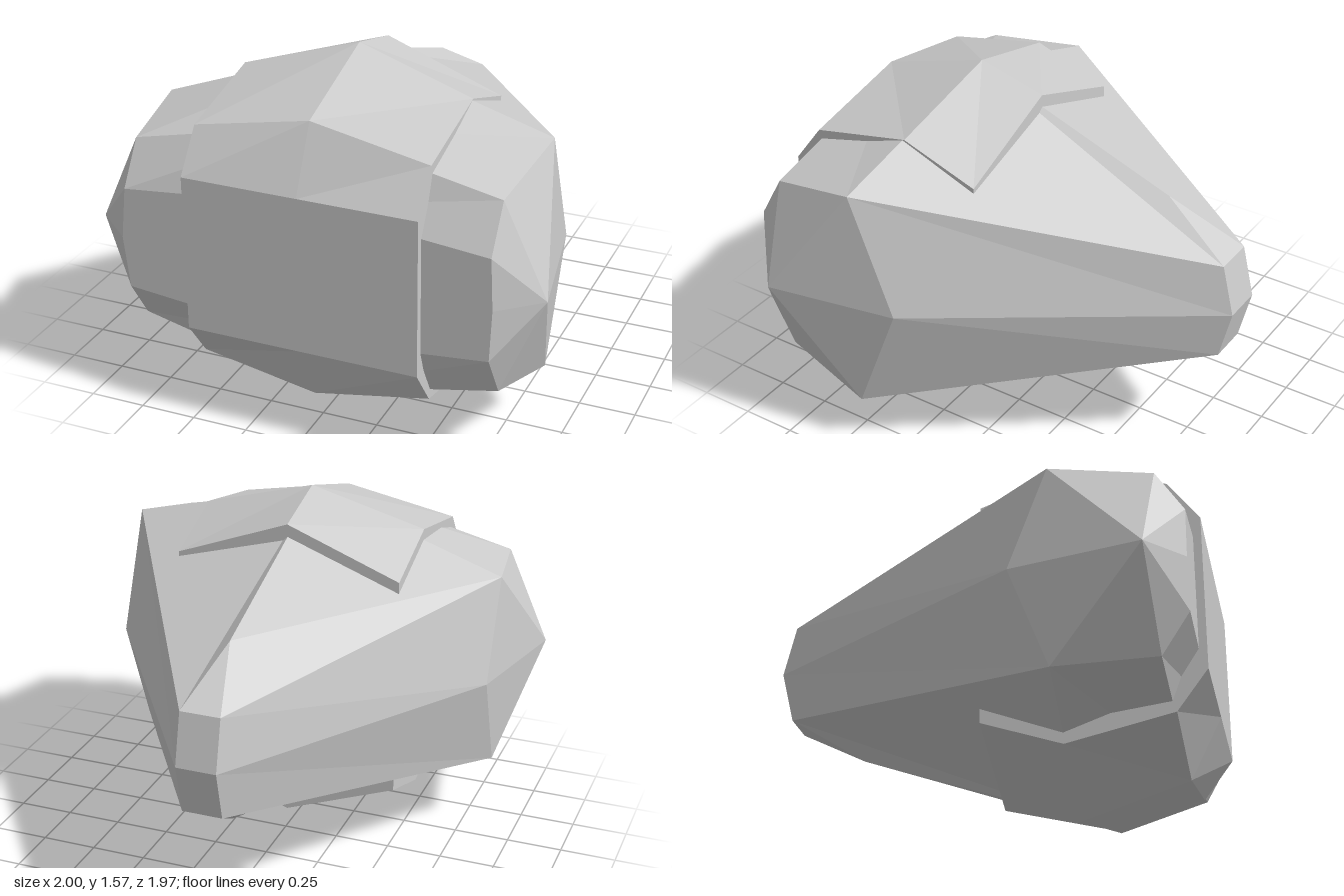
import * as THREE from 'three';

const MID = 0.787; // height of the horizontal symmetry plane

// Faces (each a list of [x, height above mid plane, z]) mirrored above and below.
function mirroredMesh(name, faces) {
  const pos = [];
  const addFace = (face, sign) => {
    const pts = face.map(([x, h, z]) => [x, MID + sign * h, z]);
    if (sign < 0) pts.reverse();
    for (let i = 1; i < pts.length - 1; i++) pos.push(...pts[0], ...pts[i], ...pts[i + 1]);
  };
  for (const face of faces) {
    addFace(face, 1);
    addFace(face, -1);
  }
  const geo = new THREE.BufferGeometry();
  geo.setAttribute('position', new THREE.Float32BufferAttribute(pos, 3));
  geo.computeVertexNormals();
  const mesh = new THREE.Mesh(geo, new THREE.MeshStandardMaterial({ color: 0xcccccc, flatShading: true }));
  mesh.name = name;
  return mesh;
}

// Wedge-shaped faceted body: a centre line joined to a left and a right flank.
function bodyFaces() {
  const c = {
    front0: [0, 0, 0.945], front1: [0, 0.31, 0.945], front2: [0, 0.6, 0.835],
    ridge: [0, 0.765, 0.36], spine: [0.01, 0.42, -0.61],
    back1: [0.01, 0.23, -0.93], back0: [0.01, 0, -0.985],
  };
  const flanks = [
    { side: 1, front0: [0.825, 0, 0.945], front1: [0.815, 0.23, 0.945], front2: [0.82, 0.43, 0.83],
      ridge: [0.885, 0.53, 0.41], hub: [1, 0, 0.79], rear: [0.89, 0, 0.2],
      back1: [0.1, 0.23, -0.93], back0: [0.1, 0, -0.985] },
    { side: -1, front0: [-0.825, 0, 0.945], front1: [-0.8, 0.23, 0.945], front2: [-0.8, 0.415, 0.825],
      ridge: [-0.87, 0.45, 0.39], hub: [-1, 0, 0.79], rear: [-0.87, 0, 0.22],
      back1: [-0.08, 0.23, -0.93], back0: [-0.08, 0, -0.985] },
  ];
  const faces = [];
  for (const f of flanks) {
    const half = [
      [c.front0, f.front0, f.front1, c.front1],
      [c.front1, f.front1, f.front2, c.front2],
      [c.front2, f.front2, f.ridge, c.ridge],
      [c.ridge, f.ridge, f.back1, c.spine],
      [c.spine, f.back1, c.back1],
      [c.back1, f.back1, f.back0, c.back0],
      [f.ridge, f.rear, f.back0, f.back1],
      [f.hub, f.rear, f.ridge],
      [f.hub, f.ridge, f.front2],
      [f.hub, f.front2, f.front1],
      [f.hub, f.front1, f.front0],
    ];
    faces.push(...half.map((p) => (f.side > 0 ? p : [...p].reverse())));
  }
  return faces;
}

// Raised band wrapping the front: profiles run from front middle over the top to the rear edge.
function bandFaces() {
  const centre = [[0, 0.98], [0.35, 0.98], [0.63, 0.84], [0.785, 0.34], [0.705, 0.03], [0, 0.03]];
  const edge = [[0, 0.98], [0.35, 0.98], [0.53, 0.845], [0.63, 0.38], [0.507, 0.03], [0, 0.03]];
  const at = (profile, x) => profile.map(([h, z]) => [x, h, z]);
  const mid = at(centre, 0.005);
  const left = at(edge, 0.525);
  const right = at(edge, -0.51);
  const faces = [left, [...right].reverse()].map((p) => [...p].reverse());
  for (let i = 0; i < mid.length - 1; i++) {
    faces.push([mid[i], left[i], left[i + 1], mid[i + 1]]);
    faces.push([right[i], mid[i], mid[i + 1], right[i + 1]]);
  }
  return faces;
}

export function createModel() {
  const group = new THREE.Group();
  group.name = 'facetedPod';
  group.add(mirroredMesh('body', bodyFaces()));
  group.add(mirroredMesh('frontBand', bandFaces()));
  return group;
}
